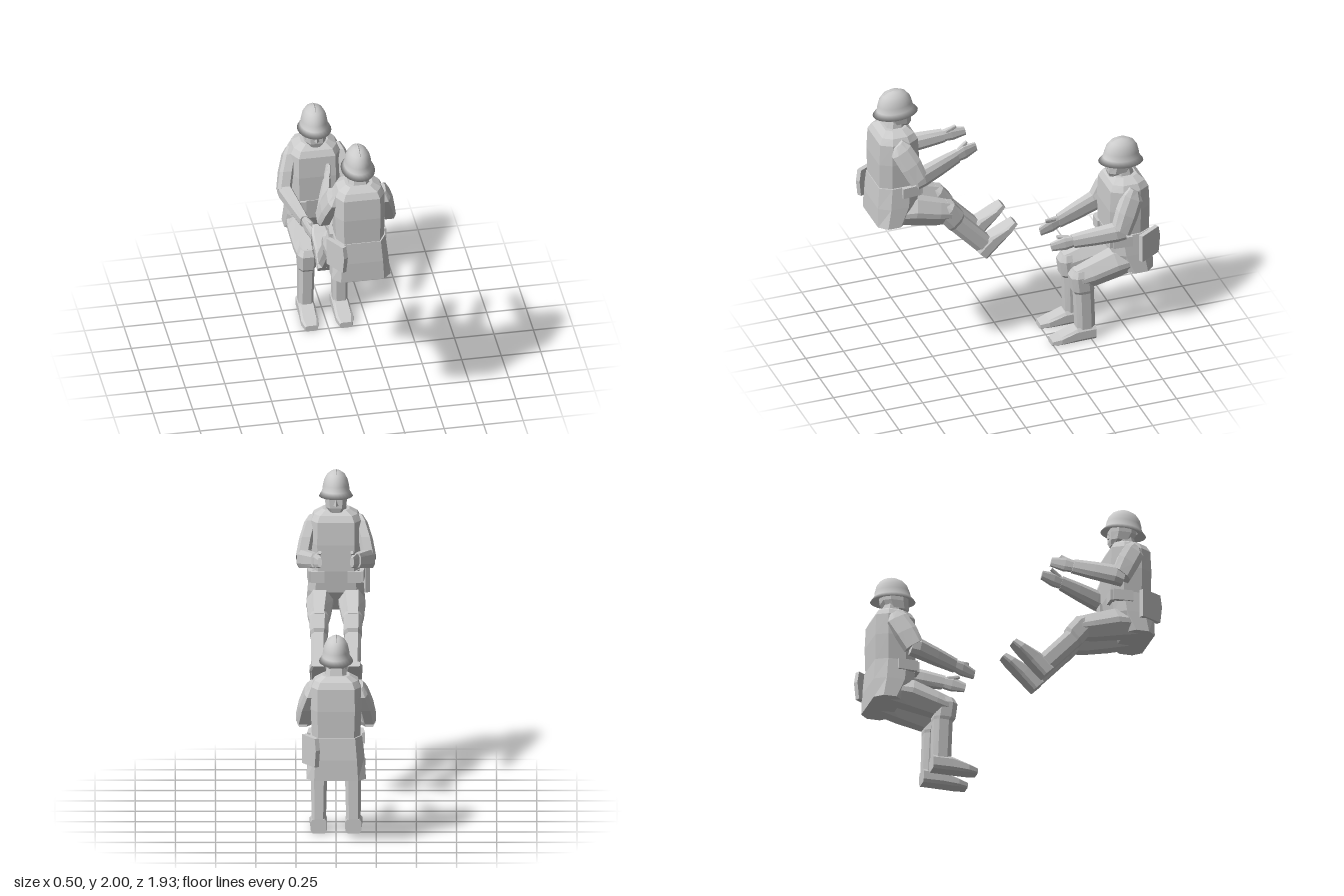
import * as THREE from 'three';

const grey = new THREE.MeshStandardMaterial({ color: 0xcccccc, flatShading: true, side: THREE.DoubleSide });
const smooth = new THREE.MeshStandardMaterial({ color: 0xcccccc, side: THREE.DoubleSide });

// Lofts chamfered eight-sided sections [x, y, z, halfWidth, halfDepth, pitch in degrees].
// Pitch 0 runs forward, 90 runs down, -90 runs up.
function loft(sections, cx = 0.6, cy = 0.5) {
  const ring = [[1, -cy], [1, cy], [cx, 1], [-cx, 1], [-1, cy], [-1, -cy], [-cx, -1], [cx, -1]];
  const pos = [], index = [], n = ring.length;
  for (const [x, y, z, w, h, pitch] of sections) {
    const t = THREE.MathUtils.degToRad(pitch);
    for (const [u, v] of ring) pos.push(x + u * w, y + v * h * Math.cos(t), z + v * h * Math.sin(t));
  }
  for (let s = 0; s < sections.length - 1; s++) {
    for (let i = 0; i < n; i++) {
      const a = s * n + i, b = s * n + (i + 1) % n;
      index.push(a, b, b + n, a, b + n, a + n);
    }
  }
  const last = (sections.length - 1) * n;
  for (let i = 1; i < n - 1; i++) {
    index.push(0, i + 1, i, last, last + i, last + i + 1);
  }
  const g = new THREE.BufferGeometry();
  g.setAttribute('position', new THREE.Float32BufferAttribute(pos, 3));
  g.setIndex(index);
  const flat = g.toNonIndexed();
  flat.computeVertexNormals();
  return flat;
}

function add(parent, name, geometry, x = 0, y = 0, z = 0, material = grey) {
  const m = new THREE.Mesh(geometry, material);
  m.name = name;
  m.position.set(x, y, z);
  parent.add(m);
  return m;
}

// A group that turns its contents about a joint
function joint(parent, name, y, z, angle) {
  const g = new THREE.Group();
  g.name = name;
  g.position.set(0, y, z);
  g.rotation.x = angle;
  parent.add(g);
  return g;
}

function addHead(body) {
  add(body, 'neck', loft([[0, 1.04, -0.01, 0.075, 0.07, -90], [0, 1.085, -0.01, 0.066, 0.06, -90],
    [0, 1.16, 0, 0.055, 0.052, -90]]));
  add(body, 'head', loft([[0, 1.08, 0.05, 0.035, 0.035, -90], [0, 1.11, 0.025, 0.062, 0.068, -90],
    [0, 1.16, 0.01, 0.07, 0.082, -90], [0, 1.24, 0.005, 0.07, 0.085, -90]]));
  const nose = add(body, 'nose', new THREE.ConeGeometry(0.016, 0.045, 4), 0, 1.15, 0.098);
  nose.rotation.x = 0.25;

  // Brimmed helmet with a thin crest
  const helmet = joint(body, 'helmet', 1.2, 0, -0.06);
  const profile = [[0.09, -0.012], [0.145, -0.03], [0.118, 0.004], [0.111, 0.04], [0.1, 0.075],
    [0.076, 0.107], [0.04, 0.127], [0, 0.133]].map(p => new THREE.Vector2(...p));
  const dome = add(helmet, 'helmetShell', new THREE.LatheGeometry(profile, 24), 0, 0, 0, smooth);
  dome.scale.x = 0.73;
  const crest = add(helmet, 'helmetCrest', new THREE.TorusGeometry(0.1, 0.006, 4, 14, 1.9), 0, 0.032, 0);
  crest.rotation.set(0, Math.PI / 2, 0);
  crest.geometry.rotateZ(0.62);
}

function addTorso(body) {
  add(body, 'jacket', loft([
    [0, 0.69, -0.015, 0.15, 0.128, -90], [0, 0.88, -0.015, 0.158, 0.132, -90],
    [0, 1.02, -0.015, 0.155, 0.125, -90], [0, 1.06, -0.015, 0.135, 0.105, -90],
    [0, 1.09, -0.015, 0.085, 0.07, -90]], 0.74, 0.45));
  add(body, 'jacketSkirt', loft([
    [0, 0.44, -0.07, 0.185, 0.093, -90], [0, 0.57, -0.03, 0.175, 0.13, -90],
    [0, 0.71, -0.015, 0.16, 0.133, -90]], 0.74, 0.45));

  // Belt pouches wrapping each front corner
  for (const s of [-1, 1]) {
    add(body, 'frontPouch', new THREE.BoxGeometry(0.085, 0.07, 0.03), s * 0.113, 0.675, 0.115);
    const side = add(body, 'sidePouch', new THREE.BoxGeometry(0.025, 0.07, 0.125), s * 0.163, 0.675, 0.05);
    side.rotation.y = -s * 0.08;
  }

  // Flat bag on the left hip
  const bag = new THREE.Shape([[-0.08, 0.09], [0.075, 0.095], [0.09, 0.02], [0.075, -0.09], [-0.08, -0.095]]
    .map(p => new THREE.Vector2(...p)));
  const hipBag = add(body, 'hipBag',
    new THREE.ExtrudeGeometry(bag, { depth: 0.03, bevelEnabled: false }), 0.145, 0.625, -0.12);
  hipBag.rotation.y = Math.PI - 1.05;
}

function addArm(body, s, pitch) {
  add(body, 'upperArm', loft([
    [s * 0.14, 1.03, -0.035, 0.028, 0.035, 55], [s * 0.155, 0.985, -0.02, 0.042, 0.068, 60],
    [s * 0.185, 0.89, 0.03, 0.045, 0.07, 60], [s * 0.205, 0.79, 0.075, 0.045, 0.062, 55]]));
  const elbow = joint(body, 'forearmGroup', 0.785, 0.085, pitch);
  add(elbow, 'forearm', loft([
    [s * 0.208, -0.01, -0.025, 0.036, 0.05, 0], [s * 0.2, 0, 0.03, 0.042, 0.058, 0],
    [s * 0.165, 0, 0.16, 0.036, 0.052, 0], [s * 0.13, 0, 0.29, 0.026, 0.043, 0]]));
  add(elbow, 'hand', loft([
    [s * 0.132, 0, 0.27, 0.018, 0.034, 0], [s * 0.118, 0, 0.34, 0.02, 0.044, 0],
    [s * 0.1, -0.005, 0.425, 0.012, 0.028, 0]]));
  add(elbow, 'thumb', loft([
    [s * 0.118, 0.025, 0.31, 0.012, 0.018, -30], [s * 0.1, 0.055, 0.375, 0.009, 0.01, -20]]));
}

function addLeg(body, s, kick) {
  add(body, 'thigh', loft([
    [s * 0.09, 0.51, -0.05, 0.08, 0.07, 13], [s * 0.1, 0.5, 0.08, 0.083, 0.09, 13],
    [s * 0.105, 0.455, 0.24, 0.07, 0.08, 13], [s * 0.105, 0.435, 0.325, 0.058, 0.07, 20]], 0.5, 0.2));
  const knee = joint(body, 'lowerLeg', 0.44, 0.31, -kick);
  add(knee, 'shin', loft([
    [s * 0.105, 0.06, 0.005, 0.042, 0.045, 90], [s * 0.105, 0.02, 0, 0.06, 0.07, 90],
    [s * 0.105, -0.08, -0.012, 0.056, 0.07, 90], [s * 0.106, -0.1, -0.02, 0.05, 0.06, 90],
    [s * 0.108, -0.37, -0.03, 0.045, 0.06, 90]]));
  add(knee, 'shoe', loft([
    [s * 0.108, -0.395, -0.09, 0.05, 0.045, 0], [s * 0.108, -0.395, 0.035, 0.053, 0.045, 0],
    [s * 0.11, -0.413, 0.14, 0.055, 0.027, 0], [s * 0.11, -0.421, 0.2, 0.04, 0.019, 0]], 0.75, 0.6));
}

function seatedFigure(name, armPitch, kick) {
  const body = new THREE.Group();
  body.name = name;
  addHead(body);
  addTorso(body);
  for (const s of [-1, 1]) {
    addArm(body, s, armPitch);
    addLeg(body, s, kick);
  }
  return body;
}

export function createModel() {
  const model = new THREE.Group();
  model.name = 'seatedPair';

  // Low figure with feet down, facing forward
  const low = seatedFigure('lowFigure', 0.2, 0);
  low.position.z = -0.75;

  // High figure with legs stretched out, facing back
  const high = seatedFigure('highFigure', -0.22, Math.PI / 4);
  high.position.set(0, 0.665, 0.75);
  high.rotation.y = Math.PI;

  model.add(low, high);
  return model;
}
